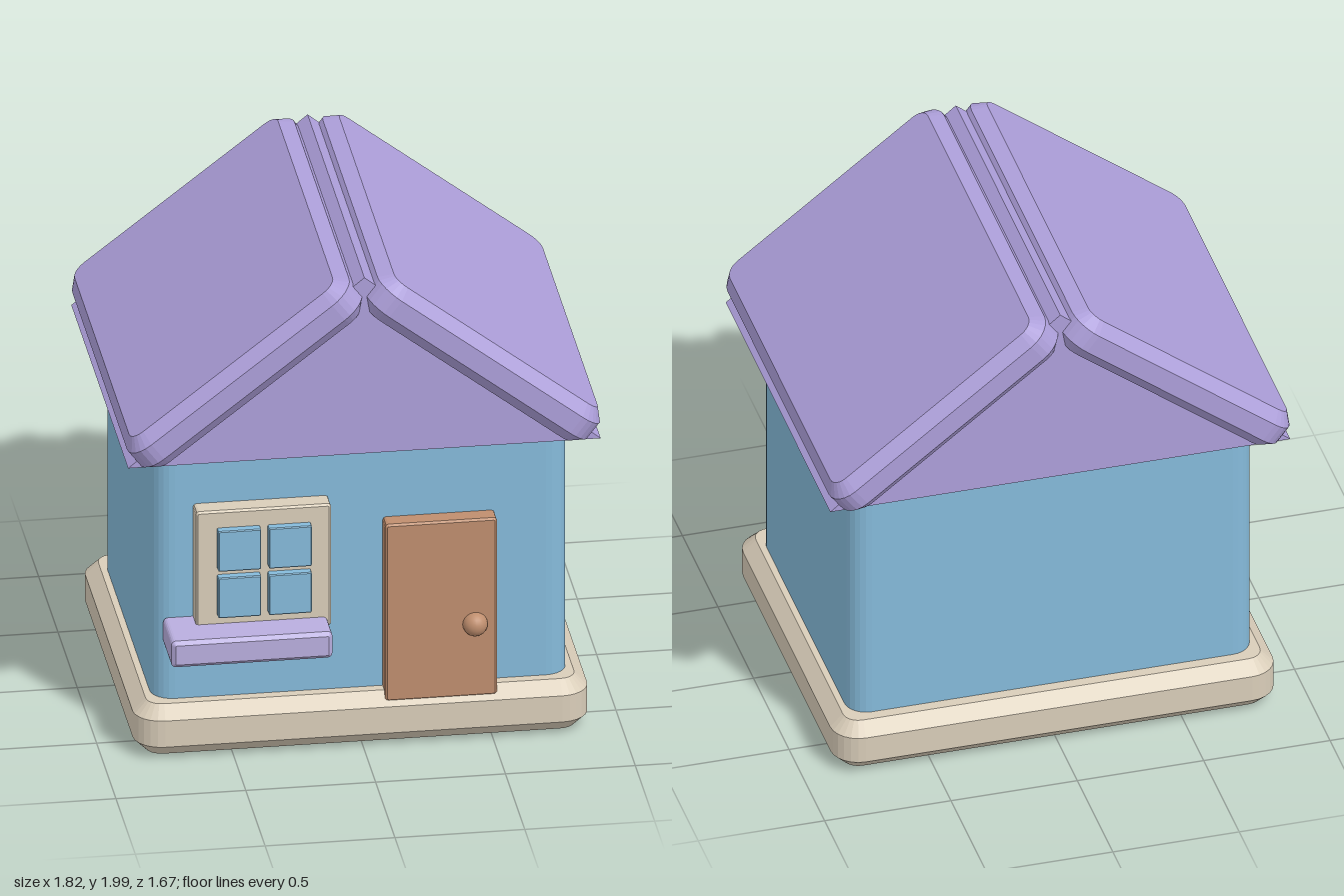
import * as THREE from 'three';

const paint = (name, color) => {
  const m = new THREE.MeshStandardMaterial({ color });
  m.name = name;
  return m;
};

// Rounded rectangle slab, w by h with thickness t along z, chamfered edges, centred on the origin
function slab(w, h, t, radius, bevel, segments = 3) {
  const x = w / 2, y = h / 2, r = radius;
  const s = new THREE.Shape();
  s.moveTo(-x + r, -y);
  s.lineTo(x - r, -y);
  s.absarc(x - r, -y + r, r, -Math.PI / 2, 0);
  s.lineTo(x, y - r);
  s.absarc(x - r, y - r, r, 0, Math.PI / 2);
  s.lineTo(-x + r, y);
  s.absarc(-x + r, y - r, r, Math.PI / 2, Math.PI);
  s.lineTo(-x, -y + r);
  s.absarc(-x + r, -y + r, r, Math.PI, Math.PI * 1.5);
  const g = new THREE.ExtrudeGeometry(s, {
    depth: t - 2 * bevel, curveSegments: segments, bevelEnabled: true,
    bevelThickness: bevel, bevelSize: bevel, bevelOffset: -bevel, bevelSegments: 1,
  });
  return g.translate(0, 0, bevel - t / 2);
}

export function createModel() {
  const house = new THREE.Group();
  house.name = 'house';
  const blue = paint('wall blue', 0x85bada);
  const purple = paint('roof purple', 0xad9fda);
  const lilac = paint('sill lilac', 0xb9aede);
  const cream = paint('stone cream', 0xd9cdb9);
  const brown = paint('door brown', 0xbf8e6e);

  const add = (name, geometry, material, x, y, z, parent = house) => {
    const mesh = new THREE.Mesh(geometry, material);
    mesh.name = name;
    mesh.position.set(x, y, z);
    parent.add(mesh);
    return mesh;
  };
  const lying = (...args) => slab(...args).rotateX(-Math.PI / 2);

  // Plinth and walls
  add('base', lying(1.75, 1.445, 0.21, 0.11, 0.05), cream, 0, 0.115, -0.022);
  add('walls', lying(1.6, 1.26, 1.3, 0.085, 0.05), blue, 0, 0.65, -0.02);

  // Gable prism under the roof
  const gable = new THREE.Shape([
    new THREE.Vector2(-0.91, 1.25), new THREE.Vector2(0.91, 1.25), new THREE.Vector2(0, 1.99),
  ]);
  add('gable', new THREE.ExtrudeGeometry(gable, { depth: 1.47, bevelEnabled: false }), purple, 0, 0, -0.76);

  // Two mirrored roof panels
  for (const side of [-1, 1]) {
    const panel = add(side > 0 ? 'leftRoofPanel' : 'rightRoofPanel',
      lying(1.08, 1.615, 0.17, 0.1, 0.045), purple, side * 0.458, 1.614, -0.025);
    panel.rotation.z = -side * 0.657;
  }

  // Window with four panes and a sill box
  const win = new THREE.Group();
  win.name = 'window';
  house.add(win);
  add('windowFrame', slab(0.52, 0.515, 0.12, 0.012, 0.008, 1), cream, -0.385, 0.778, 0.63, win);
  for (const x of [-0.482, -0.287]) {
    for (const y of [0.684, 0.88]) {
      add('windowPane', slab(0.166, 0.17, 0.08, 0.006, 0.004, 1), blue, x, y, 0.685, win);
    }
  }
  add('windowSill', slab(0.62, 0.11, 0.24, 0.018, 0.015, 2), lilac, -0.45, 0.507, 0.715, win);

  // Door and knob
  add('door', slab(0.43, 0.745, 0.11, 0.012, 0.008, 1), brown, 0.3, 0.557, 0.63);
  add('doorKnob', new THREE.SphereGeometry(0.048, 20, 14), brown, 0.43, 0.49, 0.685);

  return house;
}
